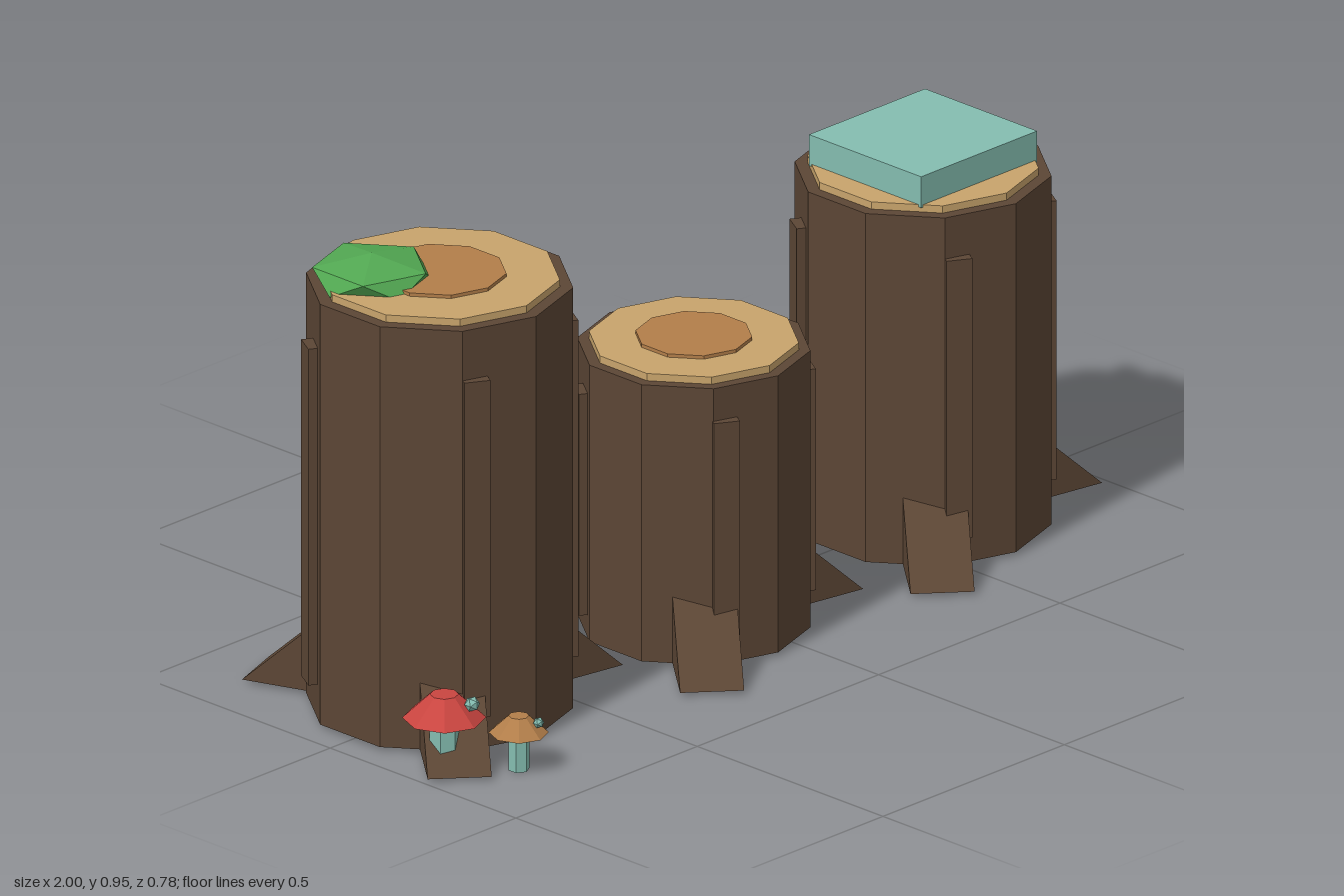
import * as THREE from 'three';

const mat = (name, color) => {
  const m = new THREE.MeshStandardMaterial({ color, flatShading: true });
  m.name = name;
  return m;
};

export function createModel() {
  const bark = mat('bark brown', 0x5c4635);
  const wood = mat('cut wood tan', 0xc8a46c);
  const heart = mat('heartwood brown', 0xb27e4a);
  const teal = mat('pale teal', 0x84bdb0);
  const green = mat('moss green', 0x52a852);
  const red = mat('cap red', 0xc94540);

  const root = new THREE.Group();
  root.name = 'treeStumps';
  const BASE = 0.0075;

  const add = (parent, name, geo, material, x = 0, y = 0, z = 0) => {
    const mesh = new THREE.Mesh(geo, material);
    mesh.name = name;
    mesh.position.set(x, y, z);
    parent.add(mesh);
    return mesh;
  };
  // upright prism standing between two heights
  const prism = (parent, name, rTop, rBottom, y0, y1, sides, material) =>
    add(parent, name, new THREE.CylinderGeometry(rTop, rBottom, y1 - y0, sides), material, 0, (y0 + y1) / 2, 0);

  // wedge root, pointing along +x and sloping to the ground
  const rootWedge = (r) => {
    const inner = r - 0.06, outer = r + 0.13, w = 0.124;
    const s = new THREE.Shape();
    s.moveTo(inner, 0);
    s.lineTo(outer, 0);
    s.lineTo(inner, 0.92 * (outer - inner));
    s.closePath();
    return new THREE.ExtrudeGeometry(s, { depth: w, bevelEnabled: false }).translate(0, 0, -w / 2);
  };

  const makeStump = (name, x, z, r, top) => {
    const g = new THREE.Group();
    g.name = name;
    g.position.set(x, 0, z);
    root.add(g);
    const h = top - BASE;
    prism(g, 'trunk', r, r, BASE, top, 10, bark);
    prism(g, 'cutTop', r * 0.9, r * 0.9, top - 0.01, top + 0.015, 10, wood);
    prism(g, 'heartwood', r * 0.5, r * 0.5, top, top + 0.022, 10, heart);
    // spreading roots
    for (const deg of [10, 130, 250]) {
      const m = add(g, 'root', rootWedge(r), bark, 0, BASE, 0);
      m.rotation.y = -THREE.MathUtils.degToRad(deg);
    }
    // raised bark strips
    for (const deg of [30, 120, 210, 300]) {
      const a = THREE.MathUtils.degToRad(deg), d = r - 0.01;
      const m = add(g, 'barkStrip', new THREE.BoxGeometry(0.04, h * 0.8, 0.052), bark,
        Math.cos(a) * d, BASE + h * 0.482, Math.sin(a) * d);
      m.rotation.y = -a;
    }
  };

  makeStump('tallStump', -0.695, -0.003, 0.26, 0.885);
  makeStump('shortStump', -0.068, 0.069, 0.227, 0.585);
  makeStump('middleStump', 0.61, 0.024, 0.25, 0.735);

  // slab resting on the middle stump
  add(root, 'slab', new THREE.BoxGeometry(0.32, 0.065, 0.302), teal, 0.61, 0.7775, 0.024);

  // flattened moss clump on the tall stump
  const moss = new THREE.IcosahedronGeometry(0.13, 0);
  moss.rotateZ(-Math.atan(2 / (1 + Math.sqrt(5))));
  moss.scale(1, 0.31, 1);
  add(root, 'mossClump', moss, green, -0.797, 0.908, -0.0865);

  // mushrooms, the small one scaled from the same proportions
  const makeMushroom = (name, x, z, s, capMaterial) => {
    const g = new THREE.Group();
    g.name = name;
    g.position.set(x, 0, z);
    root.add(g);
    prism(g, 'stem', 0.021 * s, 0.021 * s, 0, 0.082 * s, 6, teal);
    prism(g, 'cap', 0.02 * s, 0.058 * s, 0.077 * s, 0.112 * s, 8, capMaterial);
    add(g, 'capSpot', new THREE.IcosahedronGeometry(0.011 * s, 0), teal, 0.018 * s, 0.102 * s, 0.036 * s);
  };
  makeMushroom('redMushroom', -0.921, 0.23, 1.4, red);
  makeMushroom('brownMushroom', -0.821, 0.333, 1, heart);

  return root;
}
